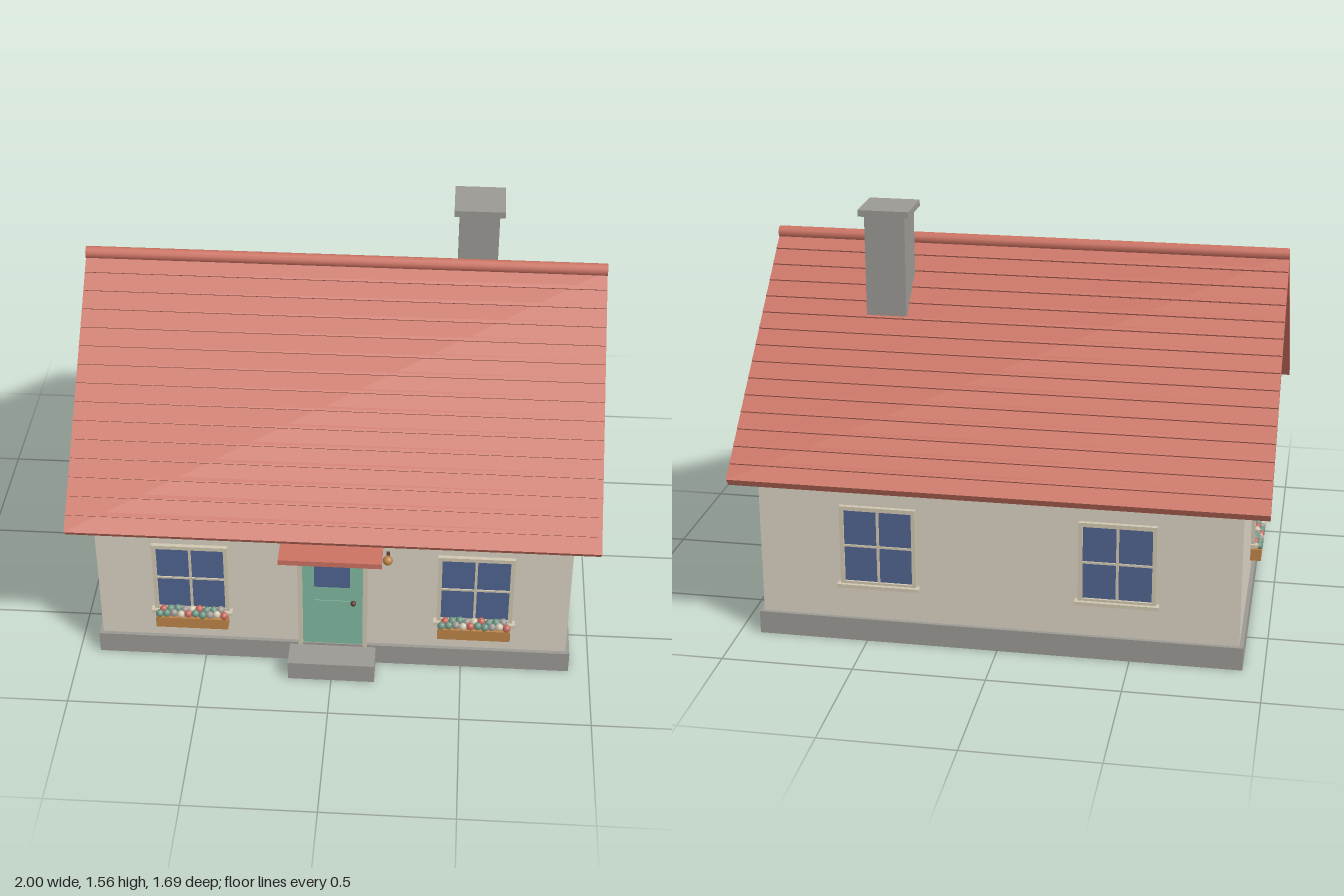
import * as THREE from 'three';

const colours = {
  wall: 0xd9d0c1, stone: 0x9b9993, roof: 0xcb7262, glass: 0x50648f, trim: 0xd0c6b0,
  door: 0x7fb9a0, wood: 0xbd8347, metal: 0x5e3d30, leaf: 0x6d9482, blossom: 0xc4685c,
};
const mats = {};
for (const [name, color] of Object.entries(colours)) {
  mats[name] = new THREE.MeshStandardMaterial({ color });
  mats[name].name = name;
}

function add(parent, name, geometry, mat, x = 0, y = 0, z = 0) {
  const mesh = new THREE.Mesh(geometry, mats[mat]);
  mesh.name = name;
  mesh.position.set(x, y, z);
  parent.add(mesh);
  return mesh;
}
const box = (parent, name, mat, w, h, d, x, y, z) =>
  add(parent, name, new THREE.BoxGeometry(w, h, d), mat, x, y, z);

// Extrudes a (depth, height) outline along x, centred
function extrudeAlongX(points, length) {
  const shape = new THREE.Shape(points.map(([s, y]) => new THREE.Vector2(s, y)));
  const g = new THREE.ExtrudeGeometry(shape, { depth: length, bevelEnabled: false });
  return g.translate(0, 0, -length / 2).rotateY(Math.PI / 2);
}

// Framed window facing +z, back on z = 0, centred on its origin
function makeWindow(w, h, crossBar) {
  const g = new THREE.Group();
  g.name = 'window';
  const t = 0.016, d = 0.016;
  box(g, 'glassPane', 'glass', w - t, h - t, 0.008, 0, 0, 0.003);
  for (const s of [-1, 1]) {
    box(g, 'frameSide', 'trim', t, h, d, s * (w - t) / 2, 0, d / 2);
    box(g, 'frameRail', 'trim', w, t, d, 0, s * (h - t) / 2, d / 2);
  }
  box(g, 'mullion', 'trim', 0.01, h - t, 0.012, 0, 0, 0.006);
  if (crossBar) box(g, 'crossBar', 'trim', w - t, 0.008, 0.012, 0, 0, 0.006);
  box(g, 'sill', 'trim', w + 0.024, 0.014, 0.03, 0, -h / 2, 0.015);
  return g;
}

// Wooden trough with two staggered rows of flowers
function makeFlowerBox(w) {
  const g = new THREE.Group();
  g.name = 'flowerBox';
  box(g, 'trough', 'wood', w, 0.048, 0.042, 0, 0.188, 0.021);
  const tones = ['leaf', 'trim', 'leaf', 'blossom', 'stone'];
  const blob = new THREE.IcosahedronGeometry(0.016, 1);
  for (let row = 0; row < 2; row++) {
    const n = 10 - row;
    for (let i = 0; i < n; i++) {
      const x = (i - (n - 1) / 2) * (w - 0.03) / 9;
      const tone = tones[(i * 2 + row * 3) % tones.length];
      add(g, 'flower', blob, tone, x, 0.225 + row * 0.01 + (i % 3) * 0.003, 0.032 - row * 0.016);
    }
  }
  return g;
}

export function createModel() {
  const house = new THREE.Group();
  house.name = 'cottage';
  const CZ = -0.03, HX = 0.905, HZ = 0.725; // house centre and half sizes

  // Foundation and gabled walls
  box(house, 'foundation', 'stone', 1.84, 0.09, 1.48, 0, 0.045, CZ);
  add(house, 'walls', extrudeAlongX(
    [[-HZ, 0.08], [HZ, 0.08], [HZ, 0.683], [0, 1.333], [-HZ, 0.683]], HX * 2), 'wall', 0, 0, CZ);

  // Roof slab, tile course edges and ridge
  const top = 1.385, run = 0.812, drop = 0.728;
  const roof = new THREE.Group();
  roof.name = 'roof';
  roof.position.z = CZ;
  house.add(roof);
  add(roof, 'roofSlab', extrudeAlongX([
    [0, top], [-run, top - drop], [-run + 0.026, top - drop - 0.031], [0, 1.331],
    [run - 0.026, top - drop - 0.031], [run, top - drop]], 2), 'roof');
  const angle = Math.atan2(drop, run), courses = 15;
  const lip = new THREE.BoxGeometry(1.996, 0.016, 0.017);
  for (const side of [-1, 1]) {
    for (let i = 1; i < courses; i++) {
      const t = i / courses;
      const edge = add(roof, 'tileCourse', lip, 'roof', 0, top - drop * t, side * run * t);
      edge.rotation.x = side * angle;
    }
  }
  const ridge = add(roof, 'ridgeCap', new THREE.CylinderGeometry(0.024, 0.024, 2, 12), 'roof', 0, 1.386, 0);
  ridge.rotation.z = Math.PI / 2;

  // Chimney
  box(house, 'chimney', 'stone', 0.155, 0.5, 0.16, 0.508, 1.29, -0.225);
  box(house, 'chimneyCap', 'stone', 0.195, 0.025, 0.195, 0.508, 1.552, -0.225);

  // Windows and flower boxes on all four walls
  const place = (part, x, y, z, turn) => {
    part.position.set(x, y, z);
    part.rotation.y = turn;
    house.add(part);
  };
  for (const s of [-1, 1]) {
    place(makeWindow(0.29, 0.32, true), s * 0.545, 0.39, CZ + HZ, 0);
    place(makeFlowerBox(0.28), s * 0.545, 0, CZ + HZ, 0);
    place(makeWindow(0.29, 0.32, true), s * 0.45, 0.39, CZ - HZ, Math.PI);
    const turn = s * Math.PI / 2;
    place(makeWindow(0.265, 0.32, true), s * HX, 0.39, CZ, turn);
    place(makeFlowerBox(0.26), s * HX, 0, CZ, turn);
    place(makeWindow(0.16, 0.18, false), s * HX, 0.917, CZ, turn);
  }

  // Front door with frame, pane and knob
  const door = new THREE.Group();
  door.name = 'frontDoor';
  door.position.z = CZ + HZ;
  house.add(door);
  box(door, 'doorLeaf', 'door', 0.234, 0.48, 0.01, 0, 0.32, 0.005);
  box(door, 'doorPane', 'glass', 0.138, 0.13, 0.006, -0.002, 0.443, 0.01);
  box(door, 'doorPanel', 'door', 0.138, 0.2, 0.006, -0.002, 0.21, 0.01);
  for (const s of [-1, 1]) box(door, 'doorJamb', 'trim', 0.018, 0.48, 0.018, s * 0.125, 0.32, 0.009);
  box(door, 'doorLintel', 'trim', 0.268, 0.018, 0.018, 0, 0.568, 0.009);
  add(door, 'doorKnob', new THREE.SphereGeometry(0.011, 12, 8), 'metal', 0.08, 0.305, 0.018);

  // Canopy, step and wall lamp
  box(house, 'canopy', 'roof', 0.385, 0.022, 0.16, 0, 0.612, 0.77);
  box(house, 'doorStep', 'stone', 0.335, 0.08, 0.13, 0, 0.04, 0.755);
  const lamp = new THREE.Group();
  lamp.name = 'wallLamp';
  lamp.position.set(0.21, 0.535, CZ + HZ);
  house.add(lamp);
  box(lamp, 'lampBracket', 'metal', 0.012, 0.05, 0.012, 0, -0.003, 0.006);
  add(lamp, 'lampGlobe', new THREE.SphereGeometry(0.019, 16, 12), 'wood', 0, 0, 0.026);

  return house;
}
